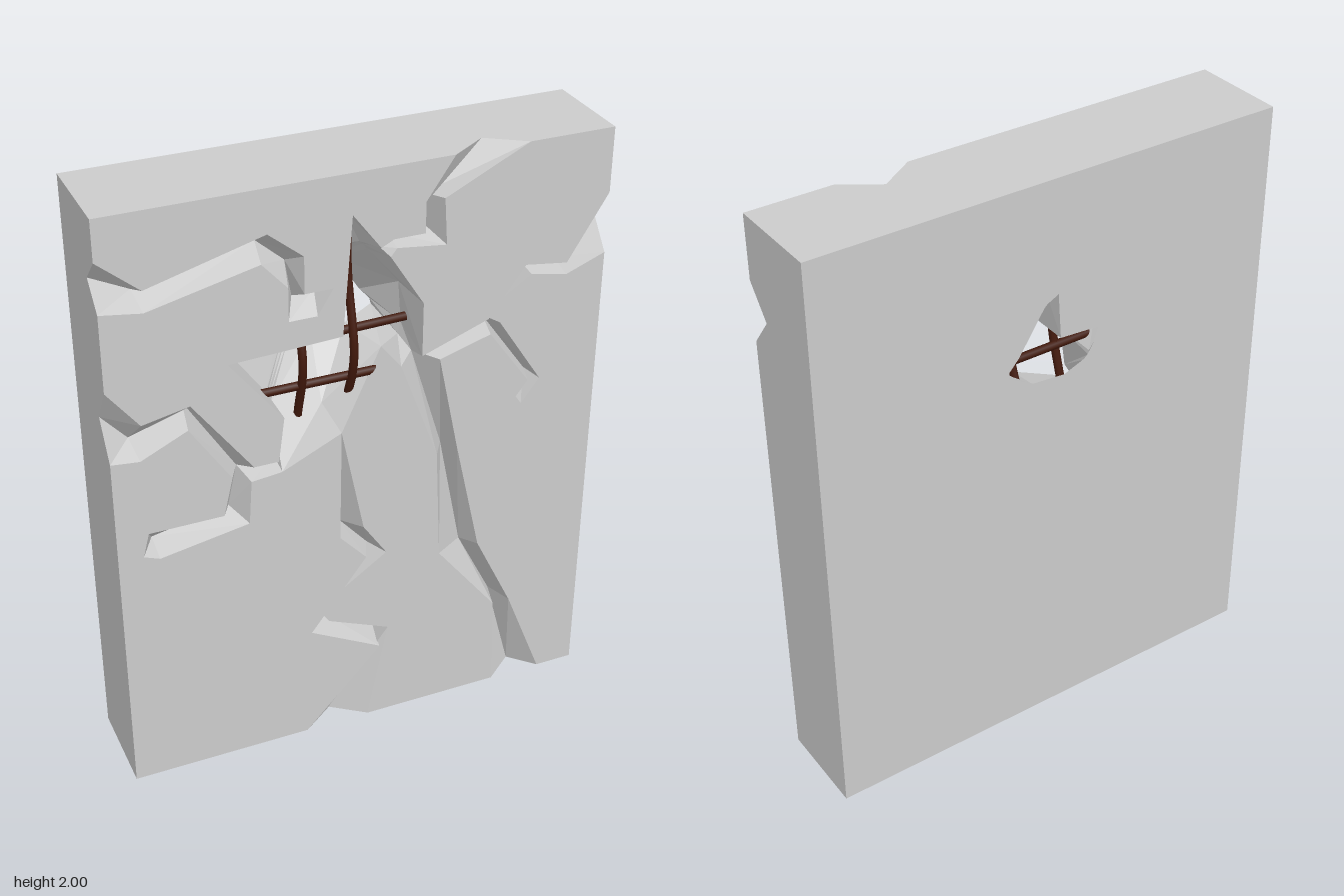
import * as THREE from 'three';

const W = 0.8, H = 2, Z = 0.16, VALLEY = 0.08;

// points as [x, y] or [x, y, z]; z falls back to a default depth
const pts = (list, z = Z) => list.map(p => new THREE.Vector3(p[0], p[1], p[2] ?? z));
const P = (x, y, z = Z) => new THREE.Vector3(x, y, z);
const rev = list => [...list].reverse();

// a V-groove: two edges on the front face and a sunken valley between them
const crack = (a, valley, b, closed = false) => ({ a: pts(a), v: pts(valley, VALLEY), b: pts(b), closed });

const cracks = {
  upperLeft: crack(
    [[-.8, 1.87], [-.67, 1.76], [-.30, 1.86], [-.19, 1.77], [-.19, 1.65], [-.10, 1.65]],
    [[-.8, 1.79], [-.68, 1.73], [-.31, 1.81], [-.22, 1.73], [-.20, 1.61], [-.13, 1.62]],
    [[-.8, 1.71], [-.67, 1.69], [-.32, 1.77], [-.24, 1.68], [-.24, 1.57], [-.15, 1.57]], true),
  left: crack(
    [[-.8, 1.46], [-.70, 1.33], [-.55, 1.36], [-.36, 1.10]],
    [[-.8, 1.34], [-.72, 1.25], [-.55, 1.33], [-.39, 1.07]],
    [[-.8, 1.22], [-.71, 1.21], [-.56, 1.28], [-.43, 1.08]]),
  leftInner: crack(
    [[-.36, 1.10], [-.28, 1.10]],
    [[-.39, 1.07], [-.27, 1.08]],
    [[-.37, 1.05], [-.27, 1.06]]),
  leftBranch: crack(
    [[-.43, 1.08], [-.46, .95], [-.70, .95], [-.72, .87]],
    [[-.39, 1.07], [-.42, .93], [-.67, .88], [-.67, .88]],
    [[-.37, 1.05], [-.38, .90], [-.67, .85], [-.67, .85]], true),
  top: crack(
    [[.28, 2], [.19, 1.87], [.19, 1.77], [.09, 1.77], [.05, 1.75]],
    [[.40, 2], [.22, 1.86], [.23, 1.75], [.10, 1.755], [.06, 1.735, .12]],
    [[.52, 2], [.25, 1.87], [.26, 1.72], [.10, 1.74], [.08, 1.715]]),
  right: crack(
    [[.8, 1.79], [.67, 1.58], [.53, 1.60], [.41, 1.44]],
    [[.8, 1.69], [.67, 1.56], [.54, 1.585], [.43, 1.41]],
    [[.8, 1.59], [.67, 1.54], [.55, 1.565], [.45, 1.42]]),
  rightInner: crack(
    [[.41, 1.44], [.19, 1.36]],
    [[.43, 1.41], [.19, 1.34]],
    [[.42, 1.385], [.25, 1.335]]),
  rightBranch: crack(
    [[.45, 1.42], [.60, 1.19], [.54, 1.11]],
    [[.43, 1.41], [.585, 1.19], [.53, 1.13]],
    [[.42, 1.385], [.56, 1.19], [.52, 1.14]], true),
  lowerRight: crack(
    [[.12, 1.34], [.25, .99], [.27, .60], [.48, .33], [.49, 0]],
    [[.19, 1.34], [.30, .98], [.38, .58], [.50, .34], [.59, 0]],
    [[.25, 1.335], [.32, 1.0], [.41, .60], [.54, .33], [.67, 0]]),
  bottom: crack(
    [[-.075, 1.15], [-.08, .76], [.01, .66], [-.18, .41], [.06, .28], [-.20, 0]],
    [[-.075, 1.15, Z], [-.05, .77], [.045, .66], [-.125, .43], [.07, .31], [-.09, 0]],
    [[-.075, 1.15], [0, .78], [.08, .66], [-.12, .44], [.09, .35], [.02, 0]]),
};

// hole rings: broken front rim, ledge inside the wall, small opening at the back
const rim = pts([[-.04, 1.87], [.05, 1.75], [.06, 1.735, .12], [.08, 1.715], [.19, 1.54],
  [.19, 1.36], [.19, 1.34, VALLEY], [.12, 1.34], [-.075, 1.15], [-.27, 1.06],
  [-.27, 1.08, VALLEY], [-.28, 1.10], [-.26, 1.25], [-.43, 1.47], [-.07, 1.485]]);
const ledge = pts([[0, 1.81], [.05, 1.70], [.06, 1.69], [.075, 1.67], [.18, 1.54],
  [.19, 1.40], [.18, 1.36], [.125, 1.325], [-.075, 1.17], [-.245, 1.205],
  [-.25, 1.22], [-.255, 1.235], [-.257, 1.25], [-.395, 1.445], [-.03, 1.465]], 0);
const opening = pts([[-.02, 1.62], [.02, 1.60], [.03, 1.59], [.04, 1.575], [.12, 1.45],
  [.155, 1.41], [.16, 1.39], [.07, 1.34], [-.045, 1.33], [-.11, 1.355],
  [-.12, 1.36], [-.13, 1.37], [-.15, 1.40], [-.17, 1.455], [-.03, 1.465]], -Z);

// collects triangles, turning each one to face along a hint direction
class Surface {
  constructor() { this.pos = []; }
  tri(a, b, c, hint) {
    const n = b.clone().sub(a).cross(c.clone().sub(a));
    if (n.length() < 1e-8) return;
    for (const p of n.dot(hint) < 0 ? [a, c, b] : [a, b, c]) this.pos.push(p.x, p.y, p.z);
  }
  strip(r, s, hint, closed = false) {
    const n = r.length;
    for (let i = 0; i < (closed ? n : n - 1); i++) {
      const j = (i + 1) % n;
      const h = hint.isVector3 ? hint : hint(r[i]);
      this.tri(r[i], r[j], s[i], h);
      this.tri(r[j], s[j], s[i], h);
    }
  }
  polygon(outline, hint, hole = []) {
    const flat = p => hint.x ? new THREE.Vector2(p.y, p.z)
      : hint.y ? new THREE.Vector2(p.x, p.z) : new THREE.Vector2(p.x, p.y);
    const all = [...outline, ...hole];
    const faces = THREE.ShapeUtils.triangulateShape(outline.map(flat), hole.length ? [hole.map(flat)] : []);
    for (const [a, b, c] of faces) this.tri(all[a], all[b], all[c], hint);
  }
  mesh(name, material) {
    const g = new THREE.BufferGeometry();
    g.setAttribute('position', new THREE.Float32BufferAttribute(this.pos, 3));
    g.computeVertexNormals();
    const m = new THREE.Mesh(g, material);
    m.name = name;
    return m;
  }
}

export function createModel() {
  const group = new THREE.Group();
  group.name = 'crackedWall';
  const concrete = new THREE.MeshStandardMaterial({ color: 0xcccccc, flatShading: true, side: THREE.DoubleSide });
  const rust = new THREE.MeshStandardMaterial({ color: 0x42190c });
  const k = cracks;
  const front = P(0, 0, 1);

  // front face: the plates left between the cracks
  const plates = new Surface();
  plates.polygon([P(-W, H), ...k.top.a, rim[0], rim[14], rim[13], rim[12], rim[11],
    ...rev(k.left.a), ...k.upperLeft.b, ...rev(k.upperLeft.a)], front);
  plates.polygon([...rev(k.top.b), P(W, H), ...k.right.a, k.rightInner.a[1], rim[4]], front);
  plates.polygon([...k.right.b, ...k.rightBranch.a.slice(1), ...rev(k.rightBranch.b),
    ...k.lowerRight.b, P(W, 0)], front);
  plates.polygon([...k.lowerRight.a, ...rev(k.bottom.b)], front);
  plates.polygon([...k.bottom.a, P(-W, 0), ...k.left.b, ...k.leftBranch.a.slice(1),
    ...rev(k.leftBranch.b.slice(0, 3)), k.leftInner.b[1]], front);
  group.add(plates.mesh('frontFace', concrete));

  // groove walls, with a cap where a crack ends inside the face
  for (const [name, c] of Object.entries(k)) {
    const groove = new Surface();
    groove.strip(c.a, c.v, front);
    groove.strip(c.v, c.b, front);
    if (c.closed) groove.tri(c.a.at(-1), c.v.at(-1), c.b.at(-1), front);
    group.add(groove.mesh(name + 'Crack', concrete));
  }

  // sides, notched where cracks run out over the edge
  const first = c => [c.a[0], c.v[0], c.b[0]];
  const last = c => [c.a.at(-1), c.v.at(-1), c.b.at(-1)];
  const sides = new Surface();
  sides.polygon([P(-W, H), ...first(k.upperLeft), ...first(k.left), P(-W, 0), P(-W, 0, -Z), P(-W, H, -Z)], P(-1, 0, 0));
  sides.polygon([P(W, H), ...first(k.right), P(W, 0), P(W, 0, -Z), P(W, H, -Z)], P(1, 0, 0));
  sides.polygon([P(-W, H), ...first(k.top), P(W, H), P(W, H, -Z), P(-W, H, -Z)], P(0, 1, 0));
  sides.polygon([P(-W, 0), ...last(k.bottom), ...last(k.lowerRight), P(W, 0), P(W, 0, -Z), P(-W, 0, -Z)], P(0, -1, 0));
  group.add(sides.mesh('sides', concrete));

  // back face with the small opening
  const back = new Surface();
  back.polygon([P(-W, 0, -Z), P(-W, H, -Z), P(W, H, -Z), P(W, 0, -Z)], P(0, 0, -1), opening);
  group.add(back.mesh('backFace', concrete));

  // broken walls of the hole
  const hole = new Surface();
  const inward = p => P(-.02, 1.42, Z).sub(p);
  hole.strip(rim, ledge, inward, true);
  hole.strip(ledge, opening, inward, true);
  group.add(hole.mesh('holeWalls', concrete));

  // exposed reinforcing bars, the uprights slightly bent
  const bar = (name, path) => {
    const curve = new THREE.CatmullRomCurve3(pts(path));
    const m = new THREE.Mesh(new THREE.TubeGeometry(curve, 16, .014, 8), rust);
    m.name = name;
    group.add(m);
  };
  bar('uprightBarCentre', [[0, 1.86, .02], [0, 1.62, .03], [0, 1.36, .08], [0, 1.15, .01]]);
  bar('uprightBarSide', [[-.163, 1.51, .03], [-.163, 1.36, .07], [-.163, 1.16, .02]]);
  bar('crossBarUpper', [[-.43, 1.44, .04], [-.1, 1.44, .05], [.22, 1.44, .04]]);
  bar('crossBarLower', [[-.31, 1.28, .05], [-.1, 1.28, .05], [.11, 1.28, .05]]);

  return group;
}
